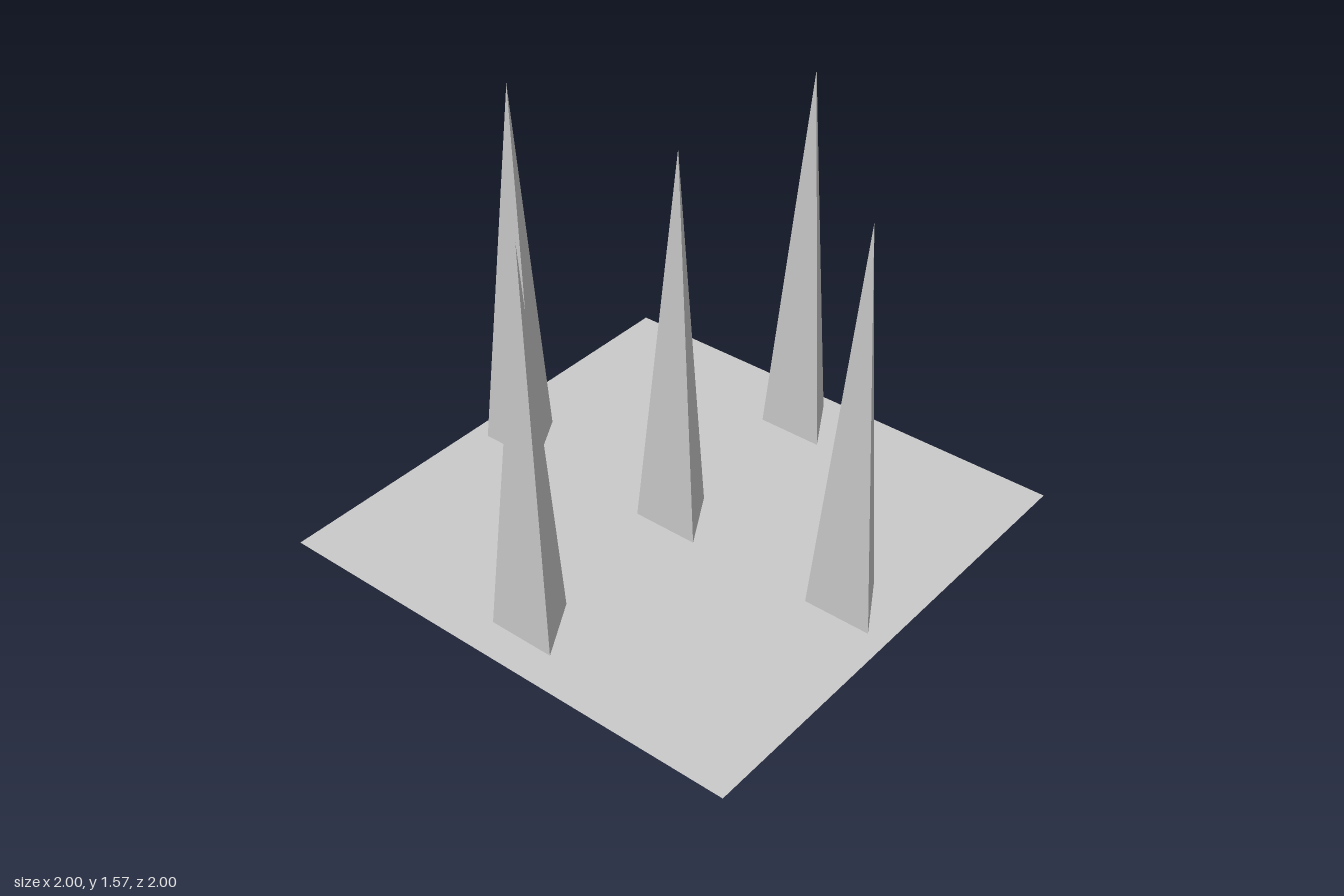
import * as THREE from 'three';

export function createModel() {
  const model = new THREE.Group();
  model.name = 'spikeBoard';
  const material = new THREE.MeshStandardMaterial({
    color: 0xcccccc, flatShading: true, side: THREE.DoubleSide,
  });

  // thin square ground sheet
  const base = new THREE.Mesh(new THREE.PlaneGeometry(2, 2).rotateX(-Math.PI / 2), material);
  base.name = 'base';
  model.add(base);

  // three-sided spikes, one corner pointing to the back, just clear of the sheet
  const radius = 0.157, height = 1.57, spacing = 0.787, lift = 0.004;
  const spikeGeometry = new THREE.ConeGeometry(radius, height, 3)
    .rotateY(Math.PI)
    .translate(0, height / 2 + lift, 0);

  const spots = {
    centreSpike: [0, 0],
    leftSpike: [spacing, 0],
    rightSpike: [-spacing, 0],
    frontSpike: [0, spacing],
    backSpike: [0, -spacing],
  };
  for (const [name, [x, z]] of Object.entries(spots)) {
    const spike = new THREE.Mesh(spikeGeometry, material);
    spike.name = name;
    spike.position.set(x, 0, z);
    model.add(spike);
  }
  return model;
}
